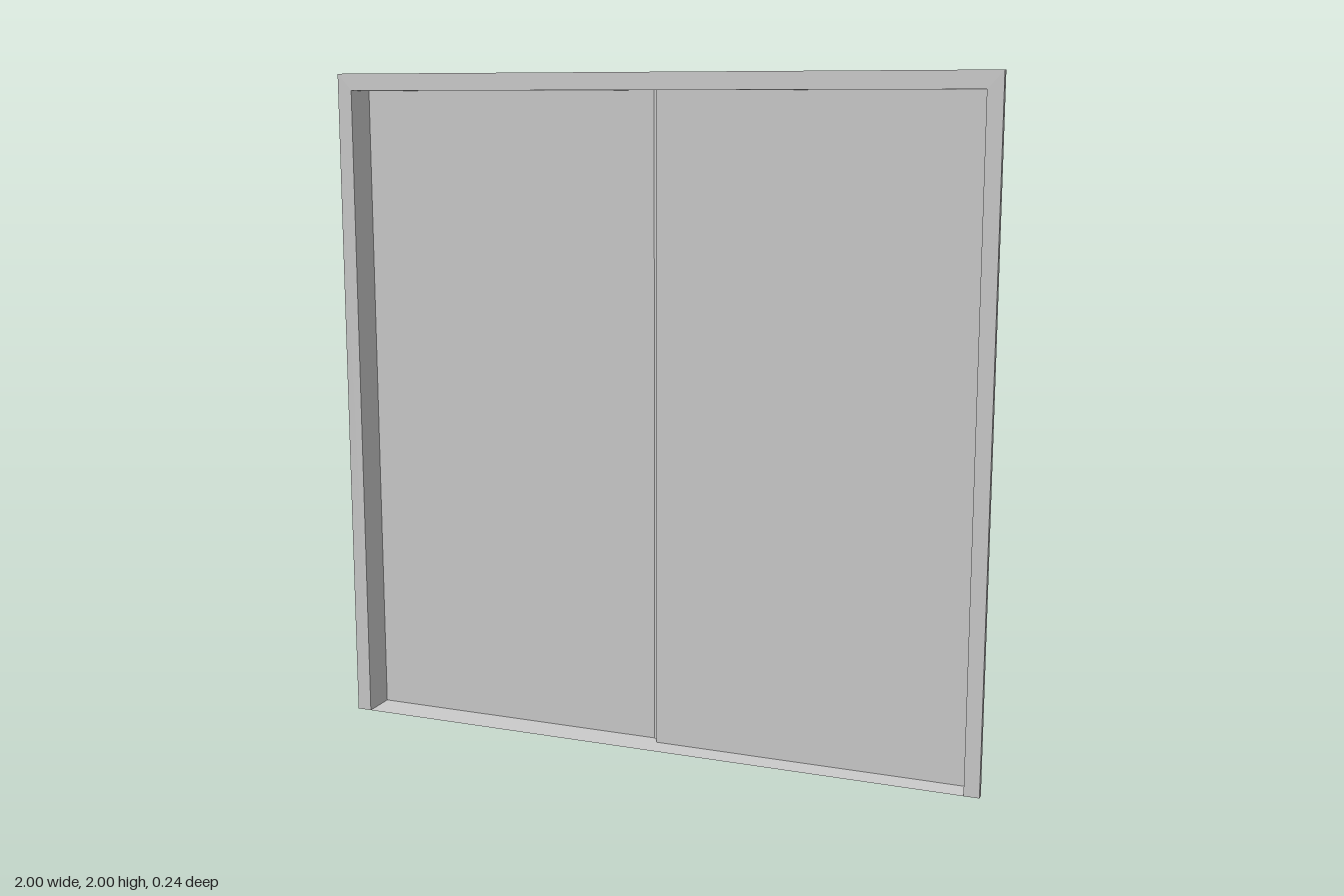
import * as THREE from 'three';

const W = 0.955, H = 1.95, FRONT = 0.12, BACK_OF_FRAME = 0.1;
const solid = new THREE.MeshStandardMaterial({ color: 0xcccccc, flatShading: true });
const sheet = new THREE.MeshStandardMaterial({ color: 0xcccccc, flatShading: true, side: THREE.DoubleSide });

function part(name, geometry, material = solid) {
  const mesh = new THREE.Mesh(geometry, material);
  mesh.name = name;
  return mesh;
}

// Curve that runs straight between its points, with mitred corners
class Polyline extends THREE.Curve {
  constructor(points) { super(); this.points = points; }
  getPoint(t) {
    const n = this.points.length - 1, f = t * n, i = Math.min(Math.floor(f), n - 1);
    return new THREE.Vector3().lerpVectors(this.points[i], this.points[i + 1], f - i);
  }
  getPointAt(u) { return this.getPoint(u); }
  getTangentAt(u) {
    const p = this.points, i = Math.round(u * (p.length - 1));
    const t = new THREE.Vector3();
    if (i > 0) t.add(p[i].clone().sub(p[i - 1]).normalize());
    if (i < p.length - 1) t.add(p[i + 1].clone().sub(p[i]).normalize());
    return t.normalize();
  }
}

// Flat frame around the sides and top, open at the bottom
function makeFrame() {
  const shape = new THREE.Shape([
    [-1, 0], [-W, 0], [-W, H], [W, H], [W, 0], [1, 0], [1, 2], [-1, 2],
  ].map(([x, y]) => new THREE.Vector2(x, y)));
  const geometry = new THREE.ExtrudeGeometry(shape, { depth: FRONT - BACK_OF_FRAME, bevelEnabled: false });
  geometry.translate(0, 0, BACK_OF_FRAME);
  return part('frame', geometry);
}

// Upright sheet between plan points [x, z]
function makeWall(name, plan) {
  const position = [], index = [];
  plan.forEach(([x, z], i) => {
    position.push(x, 0, z, x, H, z);
    if (i > 0) {
      const a = 2 * (i - 1);
      index.push(a, a + 1, a + 2, a + 2, a + 1, a + 3);
    }
  });
  const geometry = new THREE.BufferGeometry();
  geometry.setAttribute('position', new THREE.Float32BufferAttribute(position, 3));
  geometry.setIndex(index);
  geometry.computeVertexNormals();
  return part(name, geometry, sheet);
}

// Horizontal sheet closing the casing at a given height
function makeCap(name, plan, y) {
  const geometry = new THREE.ShapeGeometry(new THREE.Shape(plan.map(([x, z]) => new THREE.Vector2(x, z))));
  geometry.rotateX(Math.PI / 2).translate(0, y, 0);
  return part(name, geometry, sheet);
}

// Lever handle with two rounded bends, on an eight-sided rose
function makeHandle(side, name) {
  const y = 0.947, near = 0.159, far = 0.356, grip = -0.1, bend = 0.05, radius = 0.021;
  const points = [new THREE.Vector3(side * near, y, 0.005)];
  for (const [cx, start] of [[near + bend, 0], [far - bend, Math.PI / 2]]) {
    for (let i = 0; i <= 3; i++) {
      const a = start + (i / 3) * Math.PI / 2;
      points.push(new THREE.Vector3(
        side * (cx - bend * Math.cos(a)), y, grip + bend - bend * Math.sin(a)));
    }
  }
  points.push(new THREE.Vector3(side * far, y, -0.029));

  const group = new THREE.Group();
  group.name = name;
  group.add(part('lever', new THREE.TubeGeometry(new Polyline(points), points.length - 1, radius, 8)));

  const end = part('leverEnd', new THREE.CircleGeometry(radius, 8));
  end.position.copy(points[points.length - 1]);
  group.add(end);

  const rose = part('rose', new THREE.CylinderGeometry(0.046, 0.046, 0.017, 8));
  rose.rotation.x = Math.PI / 2;
  rose.position.set(side * near, y, 0.0085);
  group.add(rose);
  return group;
}

export function createModel() {
  const model = new THREE.Group();
  model.name = 'doubleDoor';

  // Casing plan: the right leaf is deeper and meets the left with a chamfer
  const rightLeaf = [[-W, BACK_OF_FRAME], [-W, 0.017], [-0.018, 0.017], [0, 0.034], [0, 0.048]];
  const leftLeaf = [[0, 0.048], [W, 0.048], [W, BACK_OF_FRAME]];
  const plan = [...rightLeaf, ...leftLeaf.slice(1)];

  model.add(makeFrame());
  model.add(makeWall('rightLeaf', rightLeaf));
  model.add(makeWall('leftLeaf', leftLeaf));
  model.add(makeCap('casingTop', plan, H));
  model.add(makeCap('threshold', [[-W, FRONT], ...plan.slice(1, -1), [W, FRONT]], 0));
  model.add(makeHandle(1, 'leftHandle'), makeHandle(-1, 'rightHandle'));
  return model;
}
